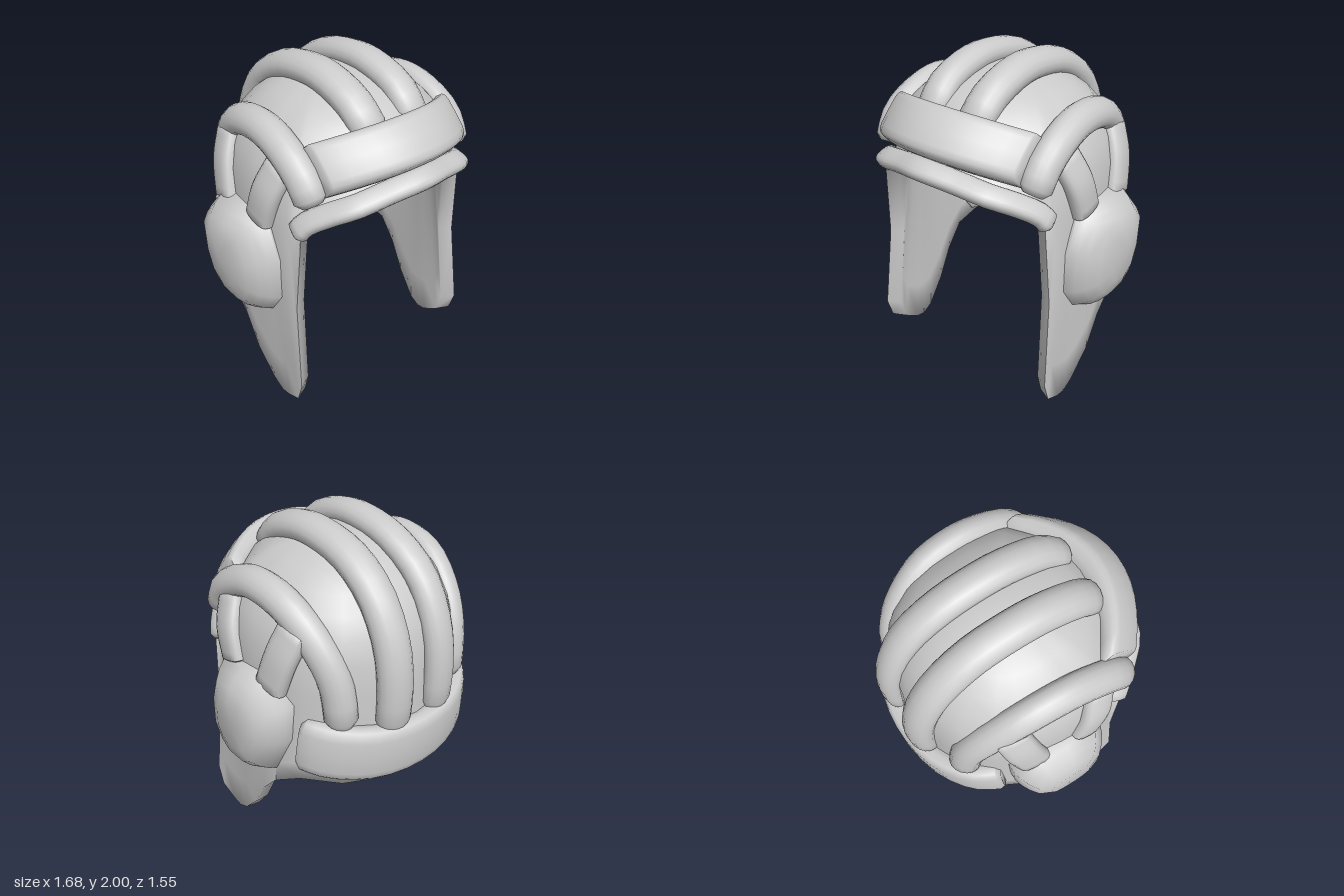
import * as THREE from 'three';
import { mergeVertices, toCreasedNormals } from 'three/addons/utils/BufferGeometryUtils.js';

const V = (x, y, z) => new THREE.Vector3(x, y, z);
const material = new THREE.MeshStandardMaterial({ color: 0xcccccc, side: THREE.DoubleSide });

// Skin a list of closed rings into a solid whose faces point outward.
function loft(rings, crease) {
  const n = rings[0].length, p = rings.flat(), idx = [];
  for (let i = 0; i < rings.length - 1; i++) {
    for (let j = 0; j < n; j++) {
      const a = i * n + j, b = i * n + (j + 1) % n;
      idx.push(a, b, b + n, a, b + n, a + n);
    }
  }
  let volume = 0;
  for (let i = 0; i < idx.length; i += 3) {
    volume += p[idx[i]].dot(p[idx[i + 1]].clone().cross(p[idx[i + 2]]));
  }
  if (volume < 0) idx.reverse();
  const geo = new THREE.BufferGeometry().setFromPoints(p);
  geo.setIndex(idx);
  return toCreasedNormals(mergeVertices(geo, 1e-4), crease);
}

// Superellipse ring around p, spanned by two half-axes.
function section(p, axisA, axisB, power) {
  const bend = v => Math.sign(v) * Math.abs(v) ** power;
  return Array.from({ length: 16 }, (_, j) => {
    const a = j / 16 * Math.PI * 2;
    return p.clone().addScaledVector(axisA, bend(Math.cos(a))).addScaledVector(axisB, bend(Math.sin(a)));
  });
}

// Padded strip swept along a path, thick side facing away from a centre.
function pad(path, halfWidth, halfThick, centre, { segments = 16, power = 1, endScale = 0.75 } = {}) {
  const curve = new THREE.CatmullRomCurve3(path);
  const stations = [[0, 0], [0, endScale]];
  for (let i = 0; i <= segments; i++) stations.push([0.03 + 0.94 * i / segments, 1]);
  stations.push([1, endScale], [1, 0]);
  return loft(stations.map(([t, k]) => {
    const p = curve.getPoint(t), tan = curve.getTangent(t);
    const out = p.clone().sub(centre);
    out.addScaledVector(tan, -out.dot(tan)).normalize();
    const across = tan.clone().cross(out);
    return section(p, across.multiplyScalar(halfWidth * k), out.multiplyScalar(halfThick * k), power);
  }), 1.0);
}

// Brow pad: one tilted section carried along a bow, with its ends cut square.
function browPadGeometry() {
  const stations = [[-0.49, 0], [-0.49, 0.96]];
  for (let i = -6; i <= 6; i++) stations.push([i * 0.08, 1]);
  stations.push([0.49, 0.96], [0.49, 0]);
  return loft(stations.map(([x, k]) => {
    const bow = (x / 0.49) ** 2;
    return section(V(x, 1.685 - 0.1 * bow, 0.61 - 0.2 * bow),
      V(0, 0.1 * k, -0.1 * k), V(0, 0.06 * k, 0.06 * k), 0.5);
  }), 1.0);
}

const flip = (pts, s) => pts.map(p => V(p.x * s, p.y, p.z));
// Complete a path that ends on the centre line with its mirror image.
const symmetric = pts => [...pts, ...flip(pts.slice(0, -1), -1).reverse()];

// Shell columns from front to back: base of the dome, then the rim below it.
const columns = [
  [0, 1.5, 0.58, 0, 1.53, 0.72], [0.2, 1.48, 0.56, 0.19, 1.51, 0.68],
  [0.34, 1.44, 0.51, 0.37, 1.45, 0.62], [0.48, 1.35, 0.42, 0.5, 1.36, 0.51],
  [0.58, 1.27, 0.36, 0.6, 1.26, 0.43], [0.6, 1.25, 0.34, 0.63, 0.75, 0.41],
  [0.61, 1.25, 0.32, 0.66, 0.2, 0.47], [0.63, 1.24, 0.26, 0.66, 0.07, 0.43],
  [0.64, 1.24, 0.2, 0.65, 0.01, 0.32], [0.65, 1.24, 0.13, 0.65, 0, 0.25],
  [0.66, 1.24, 0.06, 0.65, 0.04, 0.17], [0.66, 1.23, -0.02, 0.66, 0.2, 0.03],
  [0.65, 1.22, -0.12, 0.66, 0.4, -0.08], [0.62, 1.22, -0.25, 0.66, 0.55, -0.21],
  [0.56, 1.21, -0.39, 0.6, 0.64, -0.37], [0.42, 1.2, -0.54, 0.44, 0.64, -0.56],
  [0.22, 1.2, -0.64, 0.22, 0.63, -0.66], [0, 1.2, -0.67, 0, 0.63, -0.7],
];

function shellGeometry() {
  const mirrored = columns.slice(1, -1).reverse().map(([a, b, c, d, e, f]) => [-a, b, c, -d, e, f]);
  const all = [...columns, ...mirrored];
  const crown = V(0, 1.905, -0.02), outer = [];
  const domeRows = 8, skirtRows = 5;
  for (let i = 0; i <= domeRows; i++) {
    const a = i / domeRows * Math.PI / 2;
    const h = Math.sin(a), v = Math.max(0, Math.cos(a)) ** 0.8;
    outer.push(all.map(([x, y, z]) =>
      V(x * h, y + (crown.y - y) * v, crown.z + (z - crown.z) * h)));
  }
  for (let i = 1; i <= skirtRows; i++) {
    outer.push(all.map(([x, y, z, u, v, w]) => V(x, y, z).lerp(V(u, v, w), i / skirtRows)));
  }
  // Inner lining, joined to the outside around the rim
  const inner = outer.map(ring => ring.map(p =>
    V(p.x * 0.87, p.y - 0.05 * THREE.MathUtils.smoothstep(p.y, 0.9, 1.4), p.z * 0.9)));
  return loft([...outer, ...inner.reverse()], 1.7);
}

// Ear cup: an irregular outline stepped outward in a rounded dome.
function earCupGeometry(s) {
  const outline = [[0.2, 1.24], [0, 1.27], [-0.2, 1.27], [-0.33, 1.13], [-0.32, 0.9], [-0.22, 0.65],
    [-0.1, 0.58], [0.1, 0.57], [0.2, 0.63], [0.29, 0.77], [0.28, 1.02]];
  const steps = [[0.58, 0], [0.58, 1], [0.65, 1], [0.7, 0.94], [0.75, 0.84], [0.8, 0.69], [0.83, 0.45], [0.838, 0]];
  return loft(steps.map(([x, k]) =>
    outline.map(([z, y]) => V(s * x, 0.95 + (y - 0.95) * k, -0.06 + (z + 0.06) * k))), 1.0);
}

export function createModel() {
  const group = new THREE.Group();
  const add = (name, geometry) => {
    const mesh = new THREE.Mesh(geometry, material);
    mesh.name = name;
    group.add(mesh);
    return mesh;
  };
  const headCentre = V(0, 1.1, -0.05);

  add('shell', shellGeometry());

  // Thick brim along the front opening, and the brow pad tilted up over it
  add('brim', pad(symmetric([V(0.6, 1.23, 0.38), V(0.565, 1.3, 0.42), V(0.48, 1.37, 0.51), V(0.37, 1.43, 0.61),
    V(0.19, 1.47, 0.66), V(0, 1.505, 0.71)]),
    0.065, 0.045, V(0, 0.6, 0.2), { segments: 24, power: 0.7, endScale: 0.5 }));
  add('browPad', browPadGeometry());

  // Band around the nape, outside and inside
  add('napePad', pad(symmetric([V(0.58, 0.9, -0.36), V(0.49, 0.88, -0.51), V(0.28, 0.85, -0.65), V(0, 0.84, -0.7)]),
    0.17, 0.07, V(0, 0.87, 0), { power: 0.5, endScale: 0.8 }));
  add('innerNapePad', pad(symmetric([V(0.56, 0.84, -0.25), V(0.38, 0.84, -0.47), V(0, 0.84, -0.59)]),
    0.19, 0.05, V(0, 0.84, 0), { power: 0.6 }));

  for (const s of [1, -1]) {
    const side = s > 0 ? 'left' : 'right';

    // Long padded ridges over the head
    add(side + 'CentreRidge', pad(flip([V(0.15, 1.71, 0.46), V(0.16, 1.84, 0.33), V(0.16, 1.912, 0.12),
      V(0.16, 1.917, -0.06), V(0.16, 1.87, -0.28), V(0.165, 1.73, -0.49), V(0.165, 1.5, -0.62),
      V(0.165, 1.25, -0.665), V(0.165, 0.98, -0.655)], s), 0.105, 0.083, headCentre, { segments: 20 }));
    add(side + 'OuterRidge', pad(flip([V(0.53, 1.42, 0.45), V(0.545, 1.58, 0.35), V(0.54, 1.69, 0.14),
      V(0.535, 1.71, -0.02), V(0.52, 1.66, -0.22), V(0.48, 1.5, -0.4), V(0.44, 1.3, -0.5),
      V(0.42, 1.02, -0.53)], s), 0.095, 0.08, headCentre, { segments: 20, endScale: 0.6 }));

    // Short slanted strips above the ear
    add(side + 'FrontEarStrip', pad(flip([V(0.57, 1.58, 0.24), V(0.64, 1.42, 0.19), V(0.655, 1.23, 0.13)], s),
      0.095, 0.055, V(0, 1.2, 0.1), { segments: 8, power: 0.7 }));
    add(side + 'BackEarStrip', pad(flip([V(0.54, 1.58, -0.3), V(0.61, 1.42, -0.26), V(0.65, 1.21, -0.2)], s),
      0.1, 0.055, V(0, 1.2, -0.12), { segments: 8, power: 0.7 }));

    add(side + 'EarCup', earCupGeometry(s));

    // Strap hanging inside
    const strap = add(side + 'InnerStrap', new THREE.BoxGeometry(s > 0 ? 0.13 : 0.06, 0.42, 0.02));
    strap.position.set(s * 0.32, 1.2, -0.43);
    strap.rotation.z = s > 0 ? -0.08 : 0.12;
  }
  return group;
}
